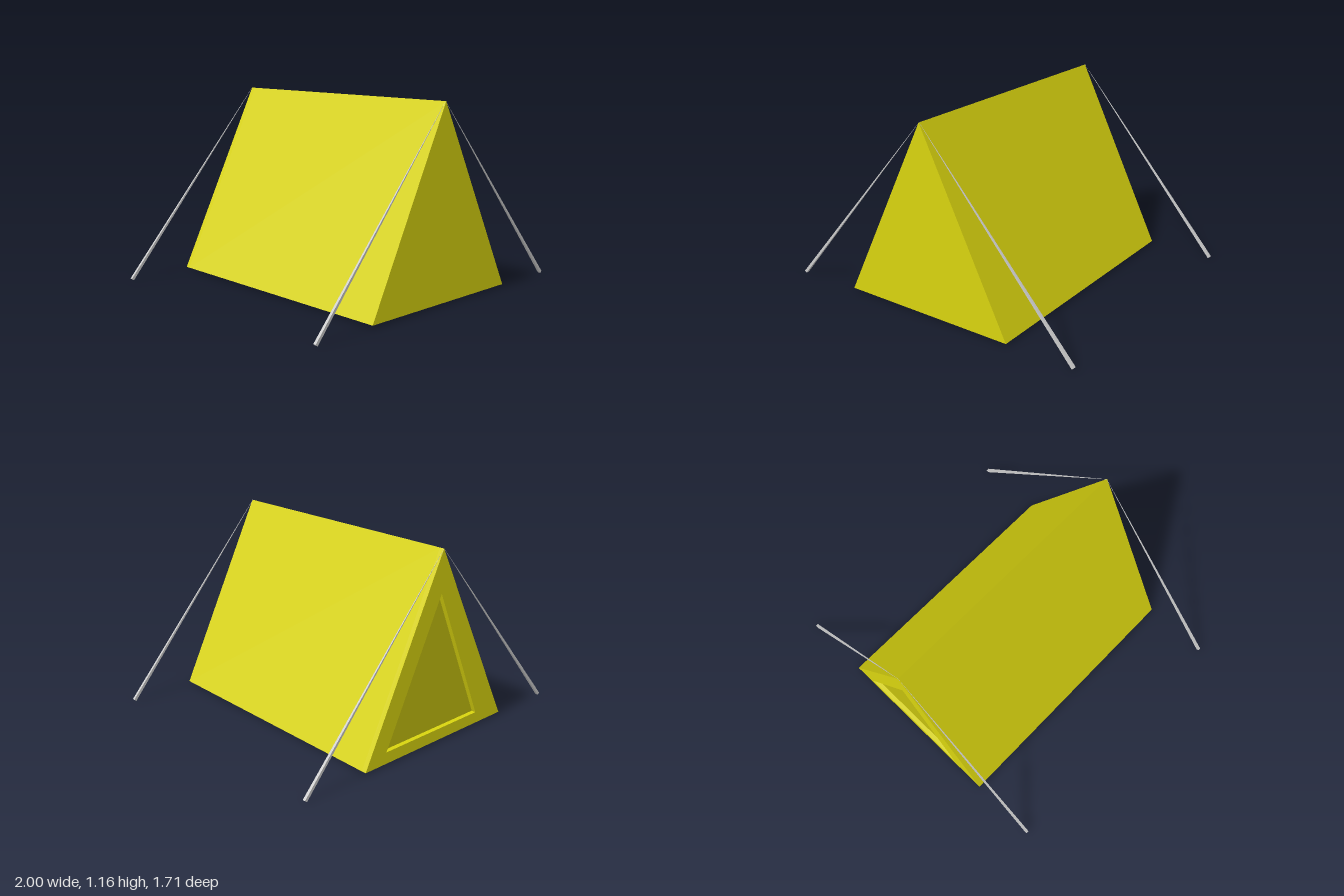
import * as THREE from 'three';

const FRONT = 0.838, BACK = -0.855, RECESS = 0.03, CX = -0.005;
const APEX = new THREE.Vector2(CX, 1.16);

const canvas = new THREE.MeshStandardMaterial({ color: 0xd9d40f });
const doorCloth = new THREE.MeshStandardMaterial({ color: 0xc4bf0e });
const grey = new THREE.MeshStandardMaterial({ color: 0xcccccc, flatShading: true });

const triangle = (x0, x1, y0, ax, ay) => [
  new THREE.Vector2(x0, y0), new THREE.Vector2(x1, y0), new THREE.Vector2(ax, ay)];

// Prism with the given outline between two z positions
function prism(name, shape, z0, z1, material) {
  const geometry = new THREE.ExtrudeGeometry(shape, { depth: z1 - z0, bevelEnabled: false });
  const mesh = new THREE.Mesh(geometry.translate(0, 0, z0), material);
  mesh.name = name;
  return mesh;
}

// Thin square bar that tapers from the ground to a point at the ridge
function guyLine(name, foot, tip) {
  const dir = tip.clone().sub(foot);
  const length = dir.length();
  const geometry = new THREE.CylinderGeometry(0.0005, 0.0125, length, 4);
  geometry.rotateY(Math.PI / 4).translate(0, length / 2, 0);
  const mesh = new THREE.Mesh(geometry, grey);
  mesh.name = name;
  mesh.quaternion.setFromUnitVectors(new THREE.Vector3(0, 1, 0), dir.normalize());
  mesh.position.copy(foot);
  return mesh;
}

export function createModel() {
  const tent = new THREE.Group();
  tent.name = 'tent';

  // Main body
  const outline = triangle(CX - 0.573, CX + 0.573, 0.01, APEX.x, APEX.y);
  tent.add(prism('tentBody', new THREE.Shape(outline), BACK + RECESS, FRONT, canvas));

  // Back wall with a triangular opening, and the door set into it
  const opening = triangle(-0.35, 0.41, 0.08, 0, 0.905);
  const wall = new THREE.Shape(outline);
  wall.holes.push(new THREE.Path(opening));
  tent.add(prism('backFrame', wall, BACK, BACK + RECESS, canvas));
  tent.add(prism('backDoor', new THREE.Shape(opening), BACK + RECESS - 0.002, BACK + RECESS + 0.01, doorCloth));

  // Guy lines, two at each end of the ridge
  const lines = [
    ['frontLeftGuyLine', 1, 0.825, FRONT - 0.004],
    ['frontRightGuyLine', -1, 0.844, FRONT - 0.004],
    ['backLeftGuyLine', 1, -0.847, BACK],
    ['backRightGuyLine', -1, -0.847, BACK],
  ];
  for (const [name, side, footZ, tipZ] of lines) {
    tent.add(guyLine(name,
      new THREE.Vector3(side * 0.993, 0.007, footZ),
      new THREE.Vector3(APEX.x, APEX.y, tipZ)));
  }
  return tent;
}
